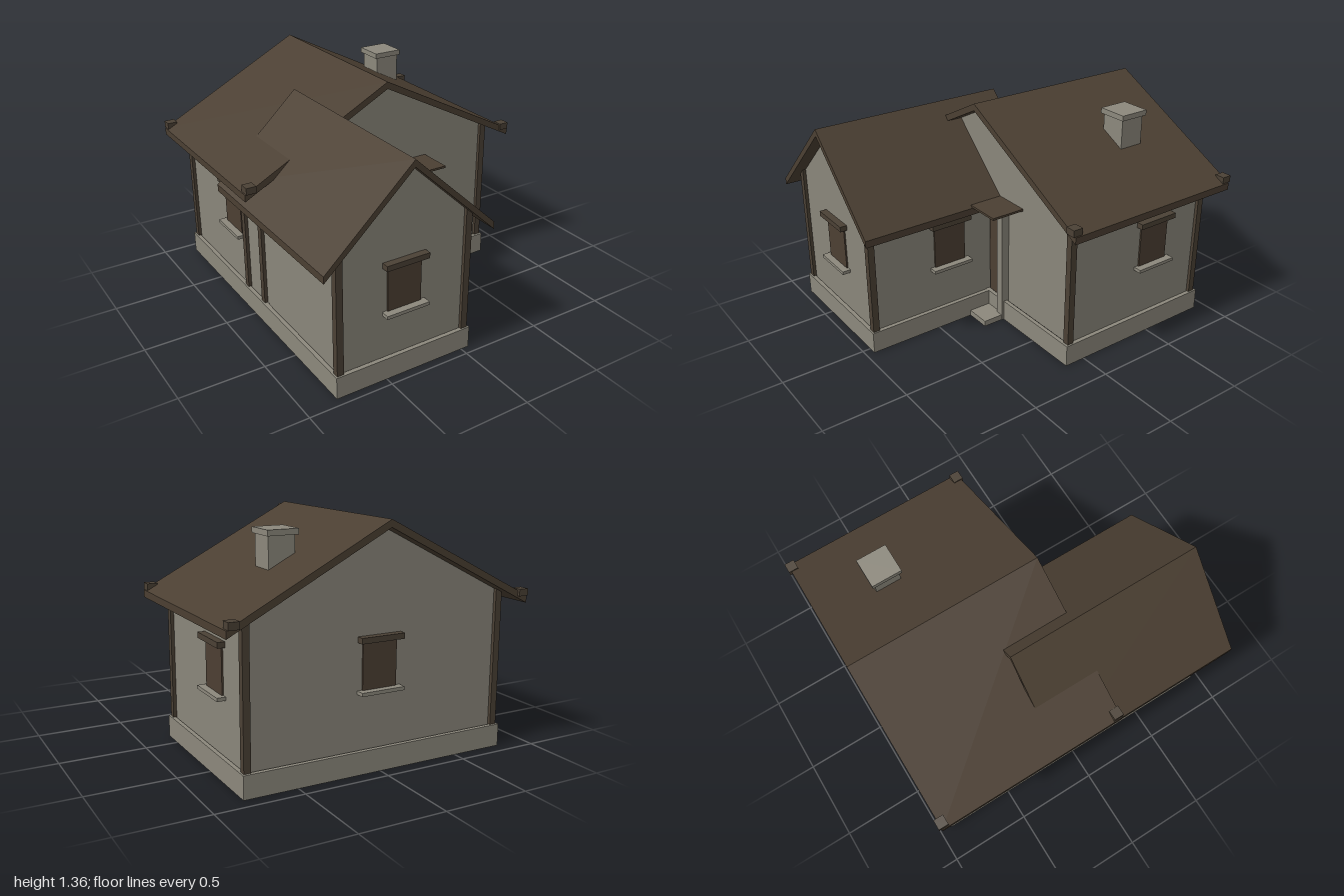
import * as THREE from 'three';

const material = (name, color) => {
  const m = new THREE.MeshStandardMaterial({ color });
  m.name = name;
  return m;
};

export function createModel() {
  const house = new THREE.Group();
  house.name = 'house';
  const plaster = material('plaster', 0x8a867a);
  const stone = material('stone', 0x8c887c);
  const roofing = material('roofing', 0x4b3f32);
  const timber = material('timber', 0x4b4135);
  const panel = material('panel', 0x4c3f33);

  const add = (name, geometry, mat, parent = house) => {
    const mesh = new THREE.Mesh(geometry, mat);
    mesh.name = name;
    parent.add(mesh);
    return mesh;
  };
  // Box given by its extents on each axis
  const box = (name, mat, [x0, x1], [y0, y1], [z0, z1], parent) => {
    const g = new THREE.BoxGeometry(x1 - x0, y1 - y0, z1 - z0);
    g.translate((x0 + x1) / 2, (y0 + y1) / 2, (z0 + z1) / 2);
    return add(name, g, mat, parent);
  };
  const polygon = (points) => new THREE.Shape(points.map(([x, y]) => new THREE.Vector2(x, y)));
  // Outline in x and y pulled along z
  const prism = (name, mat, points, z0, z1) => {
    const g = new THREE.ExtrudeGeometry(polygon(points), { depth: z1 - z0, bevelEnabled: false });
    g.translate(0, 0, z0);
    return add(name, g, mat);
  };
  // Hollow plinth ring, open underneath
  const plinth = (name, [x0, x1], [z0, z1], height, t) => {
    const rect = (a, b, c, d) => [[a, c], [b, c], [b, d], [a, d]];
    const shape = polygon(rect(x0, x1, -z1, -z0));
    shape.holes.push(polygon(rect(x0 + t, x1 - t, -z1 + t, -z0 - t)));
    const g = new THREE.ExtrudeGeometry(shape, { depth: height, bevelEnabled: false });
    g.rotateX(-Math.PI / 2);
    return add(name, g, stone);
  };

  // Gabled block: walls, roof and corner posts
  const block = (name, o) => {
    const { cx, half, ridge, eaveHalf, eave, wallZ, roofZ } = o;
    const slope = (ridge - eave) / eaveHalf;
    const t = 0.042;
    const wallTop = ridge - t - slope * half + 0.004;
    prism(name + 'Walls', plaster, [
      [cx - half, 0.12], [cx + half, 0.12], [cx + half, wallTop],
      [cx, ridge - t + 0.004], [cx - half, wallTop],
    ], ...wallZ);
    prism(name + 'Roof', roofing, [
      [cx - eaveHalf, eave - t], [cx, ridge - t], [cx + eaveHalf, eave - t],
      [cx + eaveHalf, eave], [cx, ridge], [cx - eaveHalf, eave],
    ], ...roofZ);
    for (const s of [-1, 1]) {
      for (const z of wallZ) {
        const x = cx + s * half;
        box(name + 'CornerPost', timber, [x - 0.02, x + 0.02],
          [0.07, ridge - slope * (half + 0.02) - 0.005], [z - 0.02, z + 0.02]);
      }
    }
  };
  block('main', { cx: 0, half: 0.78, ridge: 1.36, eaveHalf: 0.915, eave: 0.888, wallZ: [-0.89, 0.095], roofZ: [-0.985, 0.19] });
  block('wing', { cx: -0.38, half: 0.4, ridge: 1.27, eaveHalf: 0.52, eave: 0.788, wallZ: [-0.12, 0.92], roofZ: [-0.22, 1] });
  plinth('mainPlinth', [-0.81, 0.81], [-0.925, 0.13], 0.13, 0.025);
  plinth('wingPlinth', [-0.81, 0.05], [-0.15, 0.95], 0.13, 0.025);

  // Beam ends resting on the main eaves
  for (const s of [-1, 1]) {
    for (const [z0, z1] of [[0.14, 0.2], [-1, -0.94]]) {
      const x = s * 0.88;
      box('beamEnd', timber, [x - 0.03, x + 0.03], [0.89, 0.93], [z0, z1]);
    }
  }

  // Shuttered windows with lintel and sill; each faces +z before turning
  const addWindow = (name, x, z, turn, sill) => {
    const w = new THREE.Group();
    w.name = name;
    w.position.set(x, sill, z);
    w.rotation.y = turn;
    house.add(w);
    box('windowPanel', panel, [-0.105, 0.105], [0.015, 0.285], [0, 0.009], w);
    box('windowLintel', timber, [-0.133, 0.133], [0.28, 0.312], [-0.01, 0.042], w);
    box('windowSill', stone, [-0.133, 0.133], [0, 0.02], [-0.01, 0.05], w);
  };
  const quarter = Math.PI / 2;
  addWindow('wingFrontWindow', -0.38, 0.92, 0, 0.39);
  addWindow('wingSideWindow', 0.02, 0.395, quarter, 0.39);
  addWindow('mainSideWindow', 0.78, -0.525, quarter, 0.438);
  addWindow('mainFarSideWindow', -0.78, -0.28, -quarter, 0.438);
  addWindow('backWindow', 0, -0.89, 2 * quarter, 0.438);

  // Entrance in the inner corner
  box('door', panel, [0.03, 0.165], [0.13, 0.745], [0.095, 0.104]);
  box('doorJamb', plaster, [0.16, 0.21], [0, 0.76], [0.09, 0.145]);
  box('doorLintel', timber, [0.03, 0.22], [0.745, 0.79], [0.09, 0.19]);
  box('canopy', roofing, [0.03, 0.345], [0.79, 0.803], [0.095, 0.305]);
  plinth('stepRim', [0.05, 0.205], [0.13, 0.27], 0.035, 0.012);
  box('step', stone, [0.052, 0.203], [0.022, 0.035], [0.132, 0.268]);

  // Chimney
  box('chimney', stone, [0.365, 0.52], [1.06, 1.27], [-0.635, -0.48]);
  box('chimneyCap', stone, [0.35, 0.533], [1.268, 1.3], [-0.652, -0.468]);

  return house;
}
